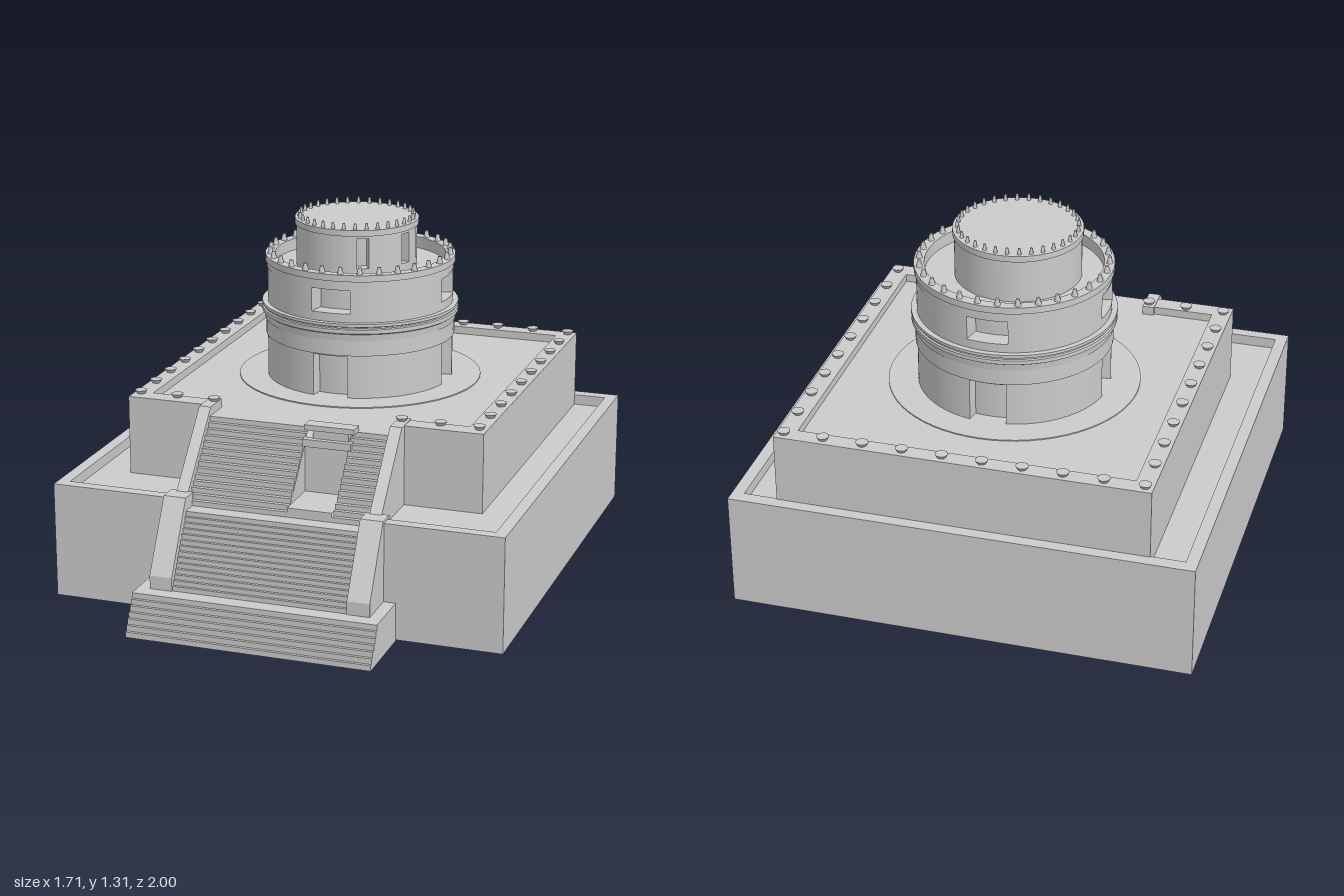
import * as THREE from 'three';
import { toCreasedNormals } from 'three/addons/utils/BufferGeometryUtils.js';

const grey = new THREE.MeshStandardMaterial({ color: 0xcccccc, side: THREE.DoubleSide });

function add(parent, name, geometry) {
  const mesh = new THREE.Mesh(geometry, grey);
  mesh.name = name;
  parent.add(mesh);
  return mesh;
}

const shapeOf = (pts) => new THREE.Shape(pts.map((p) => new THREE.Vector2(p[0], p[1])));

function box(parent, name, x0, x1, y0, y1, z0, z1) {
  const g = new THREE.BoxGeometry(x1 - x0, y1 - y0, z1 - z0);
  g.translate((x0 + x1) / 2, (y0 + y1) / 2, (z0 + z1) / 2);
  return add(parent, name, g);
}

// Solid slab from a (z, y) profile, running from x0 to x1
function slab(parent, name, profile, x0, x1) {
  const g = new THREE.ExtrudeGeometry(shapeOf(profile), { depth: x1 - x0, bevelEnabled: false });
  g.rotateY(-Math.PI / 2).translate(x1, 0, 0);
  return add(parent, name, g);
}

// Open sheet following a (z, y) profile between x0 and x1
function sheet(parent, name, profile, x0, x1) {
  const pos = [];
  for (let i = 0; i < profile.length - 1; i++) {
    const [za, ya] = profile[i], [zb, yb] = profile[i + 1];
    pos.push(x0, ya, za, x1, ya, za, x1, yb, zb, x0, ya, za, x1, yb, zb, x0, yb, zb);
  }
  const g = new THREE.BufferGeometry();
  g.setAttribute('position', new THREE.Float32BufferAttribute(pos, 3));
  g.computeVertexNormals();
  return add(parent, name, g);
}

// Flat side panel from a (z, y) profile
function sidePanel(parent, name, profile, x) {
  const g = new THREE.ShapeGeometry(shapeOf(profile));
  g.rotateY(-Math.PI / 2).translate(x, 0, 0);
  return add(parent, name, g);
}

// Riser and tread points climbing from (z0, y0) to (z1, y1)
function stepPoints(z0, y0, z1, y1, n) {
  const pts = [[z0, y0]];
  for (let i = 1; i <= n; i++) {
    const y = y0 + (y1 - y0) * i / n;
    pts.push([z0 + (z1 - z0) * (i - 1) / n, y], [z0 + (z1 - z0) * i / n, y]);
  }
  return pts;
}

// Terrace: box open below, with a raised rim that is interrupted at the stair
function terrace(parent, name, w, zBack, zFront, y0, floor, top, iw, iBack, iFront, gap) {
  const g = new THREE.BoxGeometry(2 * w, floor - y0, zFront - zBack);
  const index = Array.from(g.index.array);
  index.splice(18, 6);
  g.setIndex(index);
  g.clearGroups();
  g.translate(0, (y0 + floor) / 2, (zBack + zFront) / 2);
  add(parent, name + 'Body', g);
  const outline = [[gap, zFront], [w, zFront], [w, zBack], [-w, zBack], [-w, zFront], [-gap, zFront],
    [-gap, iFront], [-iw, iFront], [-iw, iBack], [iw, iBack], [iw, iFront], [gap, iFront]];
  const rim = new THREE.ExtrudeGeometry(shapeOf(outline.map(([x, z]) => [x, -z])), { depth: top - floor, bevelEnabled: false });
  rim.rotateX(-Math.PI / 2).translate(0, floor, 0);
  add(parent, name + 'Rim', rim);
}

// Curved wall block between two angles (0 = front, positive towards +x)
function sector(parent, name, rIn, rOut, y0, y1, a0, a1) {
  const s = new THREE.Shape();
  s.absarc(0, 0, rOut, a0 - Math.PI / 2, a1 - Math.PI / 2, false);
  s.absarc(0, 0, rIn, a1 - Math.PI / 2, a0 - Math.PI / 2, true);
  s.closePath();
  const g = new THREE.ExtrudeGeometry(s, { depth: y1 - y0, bevelEnabled: false, curveSegments: Math.max(4, Math.ceil((a1 - a0) * 14)) });
  g.rotateX(-Math.PI / 2).translate(0, y0, 0);
  return add(parent, name, toCreasedNormals(g, 0.5));
}

// Round wall with openings at the given angles
function roundWall(parent, name, rIn, rOut, y0, y1, angles, half, sill, head) {
  angles.forEach((a, i) => {
    const next = i + 1 < angles.length ? angles[i + 1] : angles[0] + 2 * Math.PI;
    sector(parent, name, rIn, rOut, y0, y1, a + half, next - half);
    if (sill > y0) sector(parent, name + 'Sill', rIn, rOut, y0, sill, a - half, a + half);
    sector(parent, name + 'Lintel', rIn, rOut, head, y1, a - half, a + half);
  });
}

function lathe(parent, name, pts) {
  const g = new THREE.LatheGeometry(pts.map((p) => new THREE.Vector2(p[0], p[1])), 64);
  return add(parent, name, toCreasedNormals(g, 0.5));
}

function ring(parent, name, rIn, rOut, y0, y1) {
  return lathe(parent, name, [[rIn, y0], [rOut, y0], [rOut, y1], [rIn, y1], [rIn, y0]]);
}

function drum(parent, name, r, y0, y1) {
  return lathe(parent, name, [[0, y0], [r, y0], [r, y1], [0, y1]]);
}

function crown(parent, name, n, r, y, size) {
  for (let i = 0; i < n; i++) {
    const a = (i + 0.5) / n * Math.PI * 2;
    const g = new THREE.CylinderGeometry(size * 0.5, size, 0.03, 6);
    g.translate(Math.sin(a) * r, y + 0.011, Math.cos(a) * r);
    add(parent, name, g);
  }
}

export function createModel() {
  const model = new THREE.Group();

  // Two stacked terraces
  terrace(model, 'lowerTerrace', 0.855, -1, 0.72, 0.005, 0.40, 0.44, 0.81, -0.95, 0.675, 0.33);
  terrace(model, 'upperTerrace', 0.685, -0.955, 0.41, 0.40, 0.67, 0.70, 0.615, -0.89, 0.34, 0.345);

  // Studs around the upper rim
  const stud = (x, z) => {
    const g = new THREE.CylinderGeometry(0.024, 0.015, 0.014, 8);
    add(model, 'rimStud', g.translate(x, 0.708, z));
  };
  for (let i = 0; i < 10; i++) {
    const z = -0.925 + i * 0.1428;
    stud(-0.655, z);
    stud(0.655, z);
    if (i > 0 && i < 9) stud(-0.655 + i * 0.1456, -0.925);
    if (i === 1 || i === 2 || i === 7 || i === 8) stud(-0.655 + i * 0.1456, 0.36);
  }

  // Wide bottom steps
  const bottom = [...stepPoints(1, 0, 0.92, 0.145, 7), [0.72, 0.145]];
  sheet(model, 'bottomSteps', bottom, -0.46, 0.46);
  for (const x of [-0.46, 0.46]) sidePanel(model, 'bottomStepsSide', [...bottom, [0.72, 0]], x);

  // Lower flight and its sloping side walls
  sheet(model, 'lowerFlight', stepPoints(0.87, 0.145, 0.72, 0.40, 14), -0.33, 0.33);
  const lowCheek = [[0.875, 0.145], [0.875, 0.195], [0.73, 0.45], [0.66, 0.45], [0.66, 0.145]];
  const highCheek = [[0.67, 0.40], [0.67, 0.45], [0.44, 0.703], [0.33, 0.703], [0.33, 0.40]];
  for (const s of [-1, 1]) {
    slab(model, 'lowerStairWall', lowCheek, s * 0.3725 - 0.0425, s * 0.3725 + 0.0425);
    slab(model, 'upperStairWall', highCheek, s * 0.3675 - 0.0225, s * 0.3675 + 0.0225);
  }

  // Upper flight, interrupted by a niche
  const upper = [...stepPoints(0.67, 0.40, 0.43, 0.67, 14), [0.41, 0.67]];
  sheet(model, 'upperFlight', upper, -0.345, 0.035);
  sheet(model, 'upperFlight', upper, 0.205, 0.345);
  sheet(model, 'niche', [[0.67, 0.40], [0.67, 0.435], [0.48, 0.435], [0.48, 0.63], [0.43, 0.67], [0.41, 0.67]], 0.035, 0.205);
  for (const x of [0.035, 0.205]) sidePanel(model, 'nicheSide', [[0.64, 0.435], [0.48, 0.435], [0.48, 0.614]], x);
  box(model, 'nicheLintel', 0.03, 0.215, 0.61, 0.638, 0.43, 0.495);
  box(model, 'nicheBlock', 0.065, 0.2, 0.638, 0.67, 0.43, 0.475);
  box(model, 'nicheCap', 0.035, 0.225, 0.67, 0.69, 0.43, 0.485);

  // Round tower
  const tower = new THREE.Group();
  tower.name = 'tower';
  tower.position.set(-0.002, 0, -0.26);
  model.add(tower);
  const quarters = [0, 1, 2, 3].map((i) => i * Math.PI / 2);

  // Ground storey with four doors
  drum(tower, 'towerFooting', 0.465, 0.665, 0.674);
  drum(tower, 'groundCore', 0.31, 0.67, 0.90);
  roundWall(tower, 'groundWall', 0.305, 0.355, 0.67, 0.85, quarters, 0.191, 0.67, 0.835);
  ring(tower, 'groundBand', 0.30, 0.362, 0.84, 0.905);

  // Cornice mouldings
  lathe(tower, 'cornice', [[0.3, 0.90], [0.365, 0.90], [0.368, 0.925], [0.376, 0.93], [0.376, 0.945],
    [0.37, 0.948], [0.37, 0.953], [0.376, 0.956], [0.376, 0.967], [0.3, 0.967]]);

  // Middle storey with four windows
  drum(tower, 'middleCore', 0.29, 0.96, 1.105);
  roundWall(tower, 'middleWall', 0.285, 0.355, 0.965, 1.105, quarters, 0.213, 1.0, 1.09);
  ring(tower, 'middleParapet', 0.325, 0.357, 1.10, 1.13);
  ring(tower, 'middleRim', 0.325, 0.363, 1.125, 1.15);
  crown(tower, 'middleFinial', 30, 0.344, 1.15, 0.013);

  // Top storey with slit windows on one side
  const turret = new THREE.Group();
  turret.name = 'turret';
  turret.position.x = -0.015;
  tower.add(turret);
  drum(turret, 'turretCore', 0.185, 1.10, 1.27);
  roundWall(turret, 'turretWall', 0.18, 0.23, 1.10, 1.27, [0.42, 1.25, 1.74], 0.1, 1.14, 1.255);
  drum(turret, 'turretRoof', 0.236, 1.265, 1.288);
  crown(turret, 'turretFinial', 32, 0.218, 1.285, 0.009);

  return model;
}
